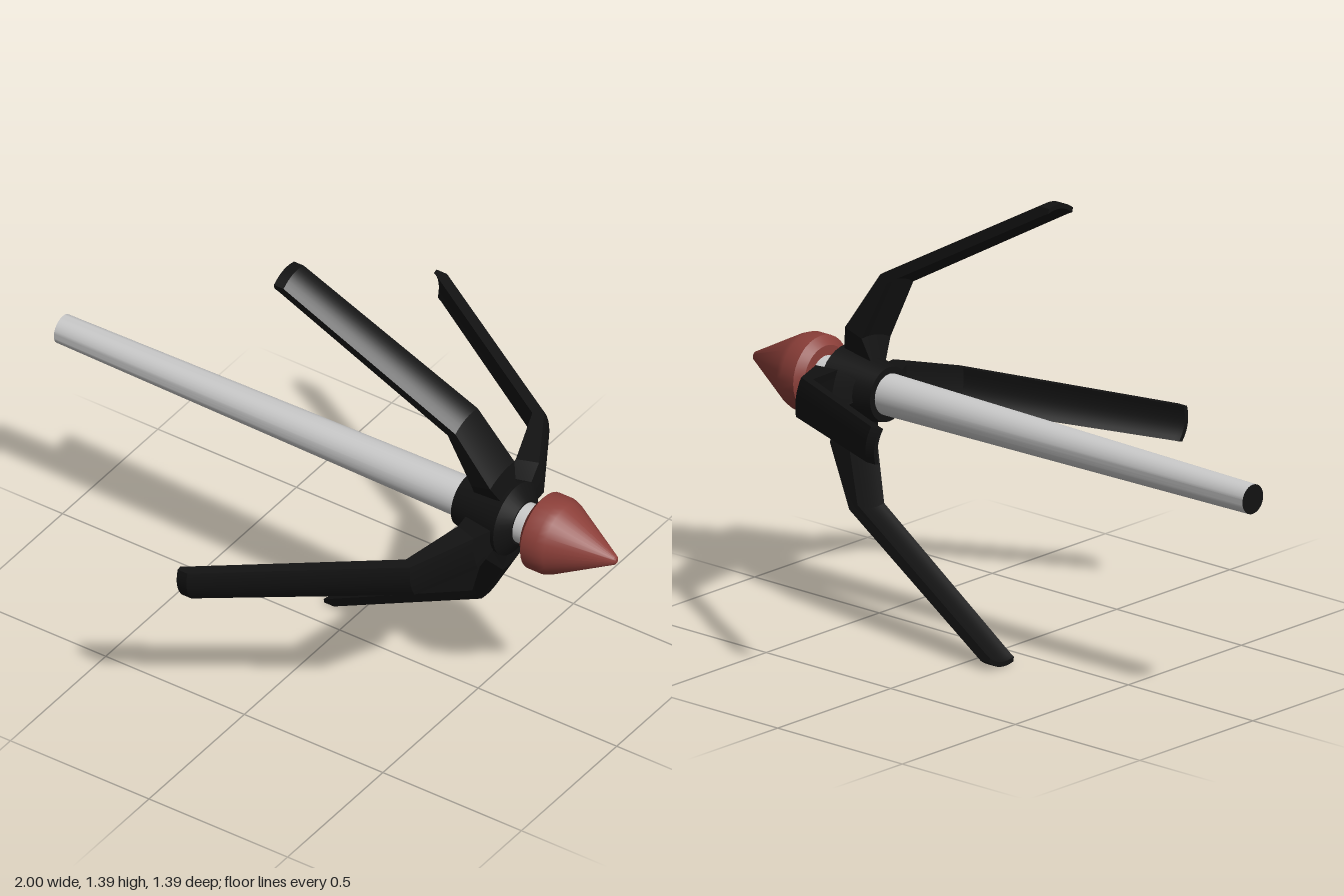
import * as THREE from 'three';
import { toCreasedNormals } from 'three/addons/utils/BufferGeometryUtils.js';

const grey = new THREE.MeshStandardMaterial({ color: 0xcccccc });
const black = new THREE.MeshStandardMaterial({ color: 0x121212 });
const red = new THREE.MeshStandardMaterial({ color: 0x8c3f39 });

// Part turned around the x axis from [x, radius] points
function turned(name, profile, material) {
  const points = profile.map(([x, r]) => new THREE.Vector2(r, x));
  const geometry = new THREE.LatheGeometry(points, 32).rotateZ(-Math.PI / 2);
  const mesh = new THREE.Mesh(toCreasedNormals(geometry, 0.5), material);
  mesh.name = name;
  return mesh;
}

// Arched, bent blade lofted from stations along its length
function bladeGeometry() {
  // outer x, outer radius, inner x, inner radius, half width, arch height
  const stations = [
    [0.625, 0.09, 0.52, 0.09, 0.035, 0],
    [0.61, 0.185, 0.54, 0.165, 0.065, 0.01],
    [0.505, 0.37, 0.475, 0.35, 0.06, 0.012],
    [-0.075, 0.706, -0.095, 0.684, 0.054, 0.014],
    [-0.11, 0.706, -0.11, 0.691, 0.054, 0.014],
  ];
  const n = 8, ring = 2 * n + 2;
  const positions = [], index = [];
  for (const [ox, or, ix, ir, half, arch] of stations) {
    for (let k = 0; k < ring; k++) {
      const outer = k <= n;
      const t = ((outer ? k : ring - 1 - k) / n) * 2 - 1;
      positions.push(outer ? ox : ix, (outer ? or : ir) - arch * t * t, half * t);
    }
  }
  const quad = (a, b, c, d) => index.push(a, b, c, a, c, d);
  for (let s = 0; s < stations.length - 1; s++) {
    for (let k = 0; k < ring; k++) {
      const a = s * ring + k, b = s * ring + (k + 1) % ring;
      quad(a, a + ring, b + ring, b);
    }
  }
  // Tip cap
  const base = (stations.length - 1) * ring;
  for (let k = 0; k < n; k++) {
    quad(base + k, base + ring - 1 - k, base + ring - 2 - k, base + k + 1);
  }
  const geometry = new THREE.BufferGeometry();
  geometry.setAttribute('position', new THREE.Float32BufferAttribute(positions, 3));
  geometry.setIndex(index);
  return toCreasedNormals(geometry, 0.35);
}

export function createModel() {
  const model = new THREE.Group();
  model.name = 'foldingPropeller';
  model.position.y = 0.7;

  // Tapered shaft with a dark end
  model.add(turned('shaft', [[-1, 0.046], [0.46, 0.064], [0.74, 0.064]], grey));
  const end = new THREE.Mesh(new THREE.CircleGeometry(0.046, 32).rotateY(-Math.PI / 2), black);
  end.name = 'shaftEnd';
  end.position.x = -1;
  model.add(end);

  // Hub collar and pointed nose
  model.add(turned('hub', [[0.46, 0.06], [0.46, 0.085], [0.54, 0.1], [0.635, 0.118], [0.667, 0.07], [0.667, 0.06]], black));
  model.add(turned('noseCone', [[0.715, 0], [0.715, 0.095], [0.735, 0.122], [0.785, 0.122], [0.81, 0.113], [0.995, 0.014], [1, 0.008], [1, 0]], red));

  // Four swept-back blades
  const geometry = bladeGeometry();
  for (let i = 0; i < 4; i++) {
    const blade = new THREE.Mesh(geometry, black);
    blade.name = 'blade' + (i + 1);
    blade.rotation.x = THREE.MathUtils.degToRad(11 + 90 * i);
    model.add(blade);
  }

  const root = new THREE.Group();
  root.name = 'model';
  root.add(model);
  return root;
}
